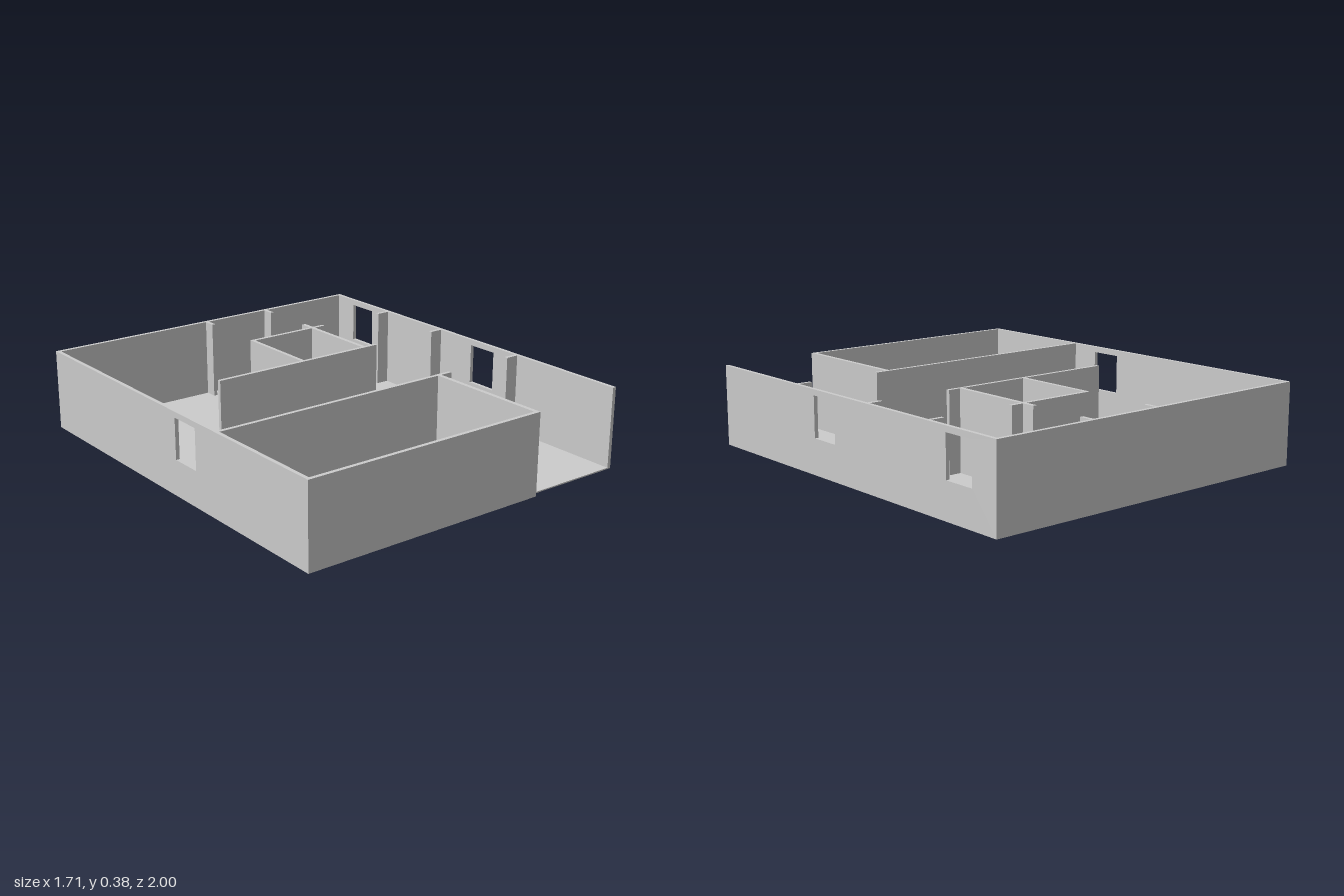
import * as THREE from 'three';

const HEIGHT = 0.385, FLOOR = 0.006, T = 0.018;
const X = 0.855; // half width of the house
const material = new THREE.MeshStandardMaterial({ color: 0xcccccc, flatShading: true });

export function createModel() {
  const group = new THREE.Group();

  const add = (name, geometry) => {
    const mesh = new THREE.Mesh(geometry, material);
    mesh.name = name;
    group.add(mesh);
    return mesh;
  };

  // Box given by its plan extents and heights
  const block = (name, x0, x1, z0, z1, y0 = FLOOR, y1 = HEIGHT) =>
    add(name, new THREE.BoxGeometry(x1 - x0, y1 - y0, z1 - z0))
      .position.set((x0 + x1) / 2, (y0 + y1) / 2, (z0 + z1) / 2);

  // Wall along z with rectangular window openings, outer face at xMax
  const windowWall = (name, xMax, z0, z1, windows) => {
    const rect = (path, a, b, c, d) =>
      path.moveTo(a, c).lineTo(b, c).lineTo(b, d).lineTo(a, d).closePath();
    const shape = rect(new THREE.Shape(), z0, z1, 0, HEIGHT);
    for (const [a, b] of windows) shape.holes.push(rect(new THREE.Path(), a, b, 0.167, 0.358));
    const wall = add(name, new THREE.ExtrudeGeometry(shape, { depth: T, bevelEnabled: false }));
    wall.rotation.y = -Math.PI / 2;
    wall.position.x = xMax;
  };

  // Floor slab, with the entrance edge set back slightly
  const plan = new THREE.Shape();
  [[-X + T, 1 - T], [X - T, 1 - T], [X - T, -0.975], [0.36, -0.975], [0.36, -1 + T], [-X + T, -1 + T]]
    .forEach(([x, y], i) => (i ? plan.lineTo(x, y) : plan.moveTo(x, y)));
  plan.closePath();
  add('floor', new THREE.ExtrudeGeometry(plan, { depth: FLOOR, bevelEnabled: false })).rotation.x = -Math.PI / 2;

  // Outer walls
  windowWall('leftOuterWall', X, -1, 0.975, [[-0.857, -0.698], [0.065, 0.222]]);
  windowWall('rightOuterWall', -X + T, -1, 1, [[0.065, 0.222]]);
  block('backWall', -X + T, X - T, -1, -1 + T, 0);
  block('frontWall', -X + T, 0.34, 1 - T, 1, 0);

  // Front room partitions
  block('entranceSideWall', 0.34, 0.36, 0.381, 1, 0);
  block('frontRoomWall', -X + T, 0.42, 0.363, 0.381);

  // Central rooms
  block('middleWall', -0.481, 0.42, -0.172, -0.154);
  block('innerRoomBackWall', -0.021, 0.34, -0.585, -0.567);
  block('innerRoomSideWall', -0.021, -0.003, -0.567, -0.172);
  block('hallSideWall', 0.34, 0.36, -0.648, -0.172);
  block('hallDoorReturn', 0.36, 0.42, -0.585, -0.567);

  // Door jambs on the left outer wall
  for (const z of [-0.585, -0.172, 0.363]) block('hallDoorJamb', 0.772, X - T, z, z + T);

  // Door jambs on the back wall
  for (const x of [-0.021, 0.341]) block('backDoorJamb', x, x + T, -1 + T, -0.923);

  return group;
}
